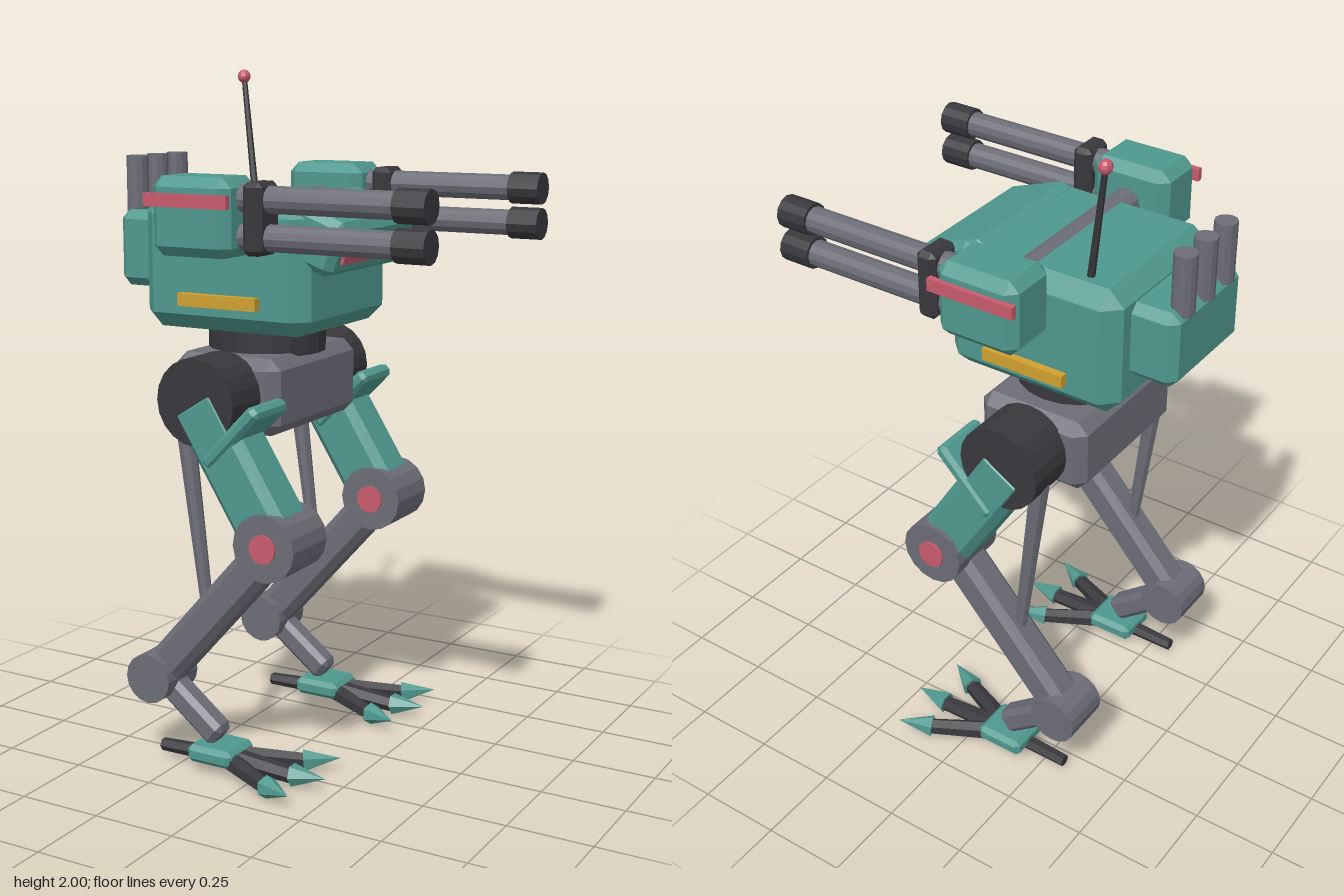
import * as THREE from 'three';
import { ConvexGeometry } from 'three/addons/geometries/ConvexGeometry.js';

const mat = (name, color) => new THREE.MeshStandardMaterial({ name, color, flatShading: true });
const V = (x, y, z) => new THREE.Vector3(x, y, z);

// Box with every edge cut at 45 degrees
function chamferBox(w, h, d, c) {
  const pts = [];
  for (const x of [-1, 1]) for (const y of [-1, 1]) for (const z of [-1, 1]) {
    const [a, b, e] = [w / 2, h / 2, d / 2];
    pts.push(V(x * a, y * (b - c), z * (e - c)), V(x * (a - c), y * b, z * (e - c)), V(x * (a - c), y * (b - c), z * e));
  }
  return new ConvexGeometry(pts);
}

export function createModel() {
  const teal = mat('teal armour', 0x4f988e);
  const grey = mat('grey metal', 0x6c6c77);
  const dark = mat('dark metal', 0x38383d);
  const red = mat('red accent', 0xc85a6c);
  const yellow = mat('yellow stripe', 0xd0a030);

  const model = new THREE.Group();
  model.name = 'walker';

  const add = (parent, name, geometry, material, x = 0, y = 0, z = 0, rotZ = 0) => {
    const m = new THREE.Mesh(geometry, material);
    m.name = name;
    m.position.set(x, y, z);
    m.rotation.z = rotZ;
    parent.add(m);
    return m;
  };
  const group = (name, z = 0) => {
    const g = new THREE.Group();
    g.name = name;
    g.position.z = z;
    model.add(g);
    return g;
  };
  // Round rod from a to b; rb is the radius at b
  const rod = (parent, name, a, b, ra, rb, material, sides = 12) => {
    const dir = b.clone().sub(a);
    const m = add(parent, name, new THREE.CylinderGeometry(rb, ra, dir.length(), sides), material);
    m.position.copy(a).add(b).multiplyScalar(0.5);
    m.quaternion.setFromUnitVectors(V(0, 1, 0), dir.normalize());
    return m;
  };
  // Chamfered beam from a to b in the x-y plane
  const beam = (parent, name, a, b, thick, depth, c, material) => {
    const dx = b[0] - a[0], dy = b[1] - a[1];
    return add(parent, name, chamferBox(Math.hypot(dx, dy), thick, depth, c), material,
      (a[0] + b[0]) / 2, (a[1] + b[1]) / 2, 0, Math.atan2(dy, dx));
  };
  // Round joint along z
  const joint = (parent, name, x, y, r, len, material, sides = 16) =>
    rod(parent, name, V(x, y, -len / 2), V(x, y, len / 2), r, r, material, sides);

  // Hull with sloped nose and visor
  const hull = group('hull');
  add(hull, 'body', chamferBox(0.54, 0.372, 0.51, 0.045), teal, -0.148, 1.464, 0);
  const nose = add(hull, 'nose', chamferBox(0.225, 0.16, 0.45, 0.022), teal, 0.1, 1.557, 0, -0.36);
  add(nose, 'visor', new THREE.BoxGeometry(0.009, 0.065, 0.36), red, 0.1165, -0.003, 0);
  add(hull, 'backpack', chamferBox(0.16, 0.22, 0.35, 0.025), teal, -0.47, 1.49, 0);
  for (const z of [-0.103, 0, 0.103])
    rod(hull, 'exhaust', V(-0.527, 1.58, z), V(-0.527, 1.755, z), 0.032, 0.032, grey);
  for (const s of [-1, 1])
    add(hull, 'sideStripe', new THREE.BoxGeometry(0.255, 0.036, 0.026), yellow, -0.147, 1.368, s * 0.266);

  // Antenna
  rod(hull, 'antenna', V(-0.295, 1.63, -0.178), V(-0.348, 1.98, -0.204), 0.011, 0.008, dark, 6);
  add(hull, 'antennaTip', new THREE.SphereGeometry(0.02, 8, 6), red, -0.348, 1.98, -0.204);

  // Axle joining the gun pods
  rod(hull, 'gunAxle', V(-0.12, 1.612, -0.3), V(-0.12, 1.612, 0.3), 0.045, 0.045, grey);

  // Waist and pelvis
  rod(hull, 'waist', V(-0.147, 1.2, 0), V(-0.147, 1.29, 0), 0.172, 0.172, dark, 20);
  add(hull, 'pelvis', chamferBox(0.345, 0.22, 0.49, 0.032), grey, -0.148, 1.1, 0);

  for (const s of [-1, 1]) {
    const side = s > 0 ? 'left' : 'right';

    // Gun pod with twin barrels
    const pod = group(side + 'GunPod', s * 0.366);
    add(pod, 'podShell', chamferBox(0.247, 0.215, 0.175, 0.028), teal, -0.122, 1.617, 0);
    add(pod, 'podStripe', new THREE.BoxGeometry(0.262, 0.036, 0.018), red, -0.121, 1.662, s * 0.0925);
    add(pod, 'barrelMount', chamferBox(0.06, 0.195, 0.106, 0.014), dark, 0.055, 1.617, 0);
    for (const y of [1.667, 1.566]) {
      rod(pod, 'barrel', V(-0.02, y, 0), V(0.5, y, 0), 0.037, 0.037, grey);
      rod(pod, 'muzzle', V(0.463, y, 0), V(0.556, y, 0), 0.046, 0.046, dark);
    }

    // Leg
    const leg = group(side + 'Leg', s * 0.314);
    joint(leg, 'hipJoint', -0.147, 1.102, 0.125, 0.152, dark, 20);
    beam(leg, 'thigh', [-0.165, 1.11], [0.08, 0.72], 0.165, 0.16, 0.025, teal);
    beam(leg, 'thighGuard', [-0.115, 0.93], [0.05, 1.1], 0.042, 0.176, 0.012, teal);
    joint(leg, 'kneeJoint', 0.08, 0.72, 0.097, 0.184, grey);
    joint(leg, 'kneeCap', 0.08, 0.72, 0.041, 0.2, red);
    beam(leg, 'shin', [0.08, 0.72], [-0.325, 0.265], 0.112, 0.106, 0.022, grey);
    rod(leg, 'piston', V(-0.235, 1.06, 0), V(-0.165, 0.5, 0), 0.028, 0.018, grey, 8);
    joint(leg, 'ankleJoint', -0.325, 0.265, 0.074, 0.15, grey);
    beam(leg, 'footLink', [-0.325, 0.265], [-0.12, 0.105], 0.076, 0.076, 0.016, grey);

    // Foot with heel spur, three toes and claws
    add(leg, 'footPlate', chamferBox(0.15, 0.052, 0.14, 0.014), teal, -0.125, 0.06, 0);
    rod(leg, 'heel', V(-0.12, 0.045, 0), V(-0.325, 0.038, 0), 0.024, 0.019, dark, 6);
    for (const a of [-0.44, 0, 0.44]) {
      const at = (r, y) => V(-0.13 + r * Math.cos(a), y, r * Math.sin(a));
      rod(leg, 'toe', at(0.02, 0.05), at(0.26, 0.034), 0.03, 0.024, dark, 6);
      rod(leg, 'claw', at(0.25, 0.036), at(0.356, 0.046), 0.034, 0, teal, 6);
    }
  }
  return model;
}
